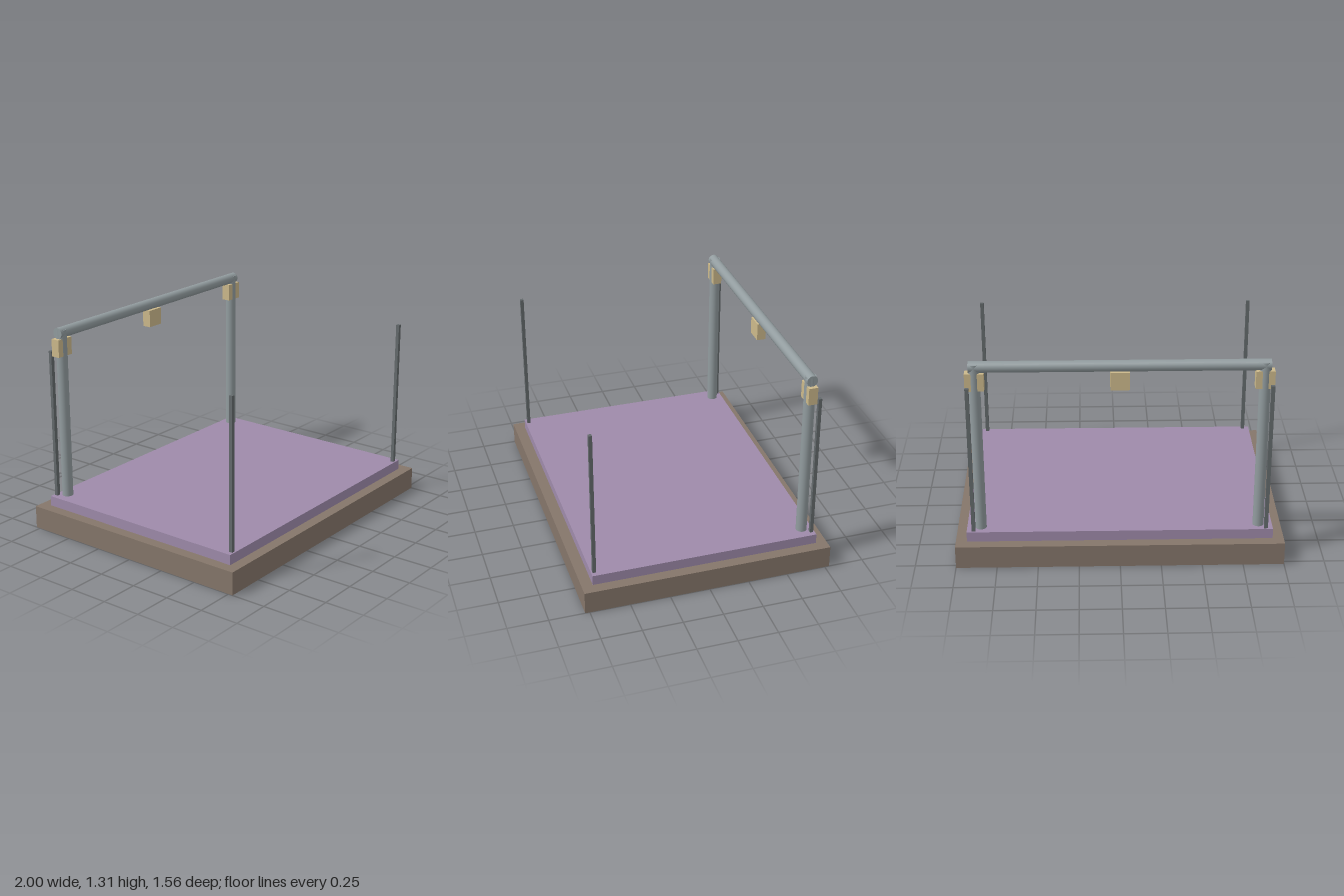
import * as THREE from 'three';

export function createModel() {
  const group = new THREE.Group();
  const material = (name, color) => {
    const m = new THREE.MeshStandardMaterial({ color });
    m.name = name;
    return m;
  };
  const brown = material('brown base', 0x85766a);
  const purple = material('purple mat', 0x9e8aaa);
  const steel = material('grey steel', 0x929c9f);
  const dark = material('dark metal', 0x646a6c);
  const tan = material('tan bracket', 0xccb98b);

  const add = (name, geometry, mat, x, y, z) => {
    const mesh = new THREE.Mesh(geometry, mat);
    mesh.name = name;
    mesh.position.set(x, y, z);
    group.add(mesh);
    return mesh;
  };
  // Box given by its size, bottom height and centre
  const box = (name, w, h, d, mat, x, bottom, z) =>
    add(name, new THREE.BoxGeometry(w, h, d), mat, x, bottom + h / 2, z);

  const baseTop = 0.144, matTop = 0.208;
  const frameZ = -0.643, radius = 0.034, postX = 0.847;

  // Stepped platform
  box('base', 2, baseTop, 1.558, brown, 0, 0, 0);
  box('mat', 1.864, matTop - baseTop, 1.422, purple, 0, baseTop, 0);

  // Thin square rods at the four corners
  for (const x of [-0.89, 0.89]) {
    for (const z of [-0.691, 0.691]) {
      box('cornerRod', 0.023, 1.157 - matTop, 0.021, dark, x, matTop, z);
    }
  }

  // Round uprights
  const postHeight = 1.292 - matTop;
  for (const x of [-postX, postX]) {
    add('upright', new THREE.CylinderGeometry(radius, radius, postHeight, 24),
      steel, x, matTop + postHeight / 2, frameZ);
  }

  // Crossbar over the uprights
  const bar = add('crossbar', new THREE.CylinderGeometry(radius, radius, 1.76, 24),
    steel, 0, 1.272, frameZ);
  bar.rotation.z = Math.PI / 2;

  // Blocks below the bar
  for (const x of [-postX, 0, postX]) {
    box('bracket', 0.113, 0.11, 0.057, tan, x, 1.128, frameZ);
  }

  return group;
}
